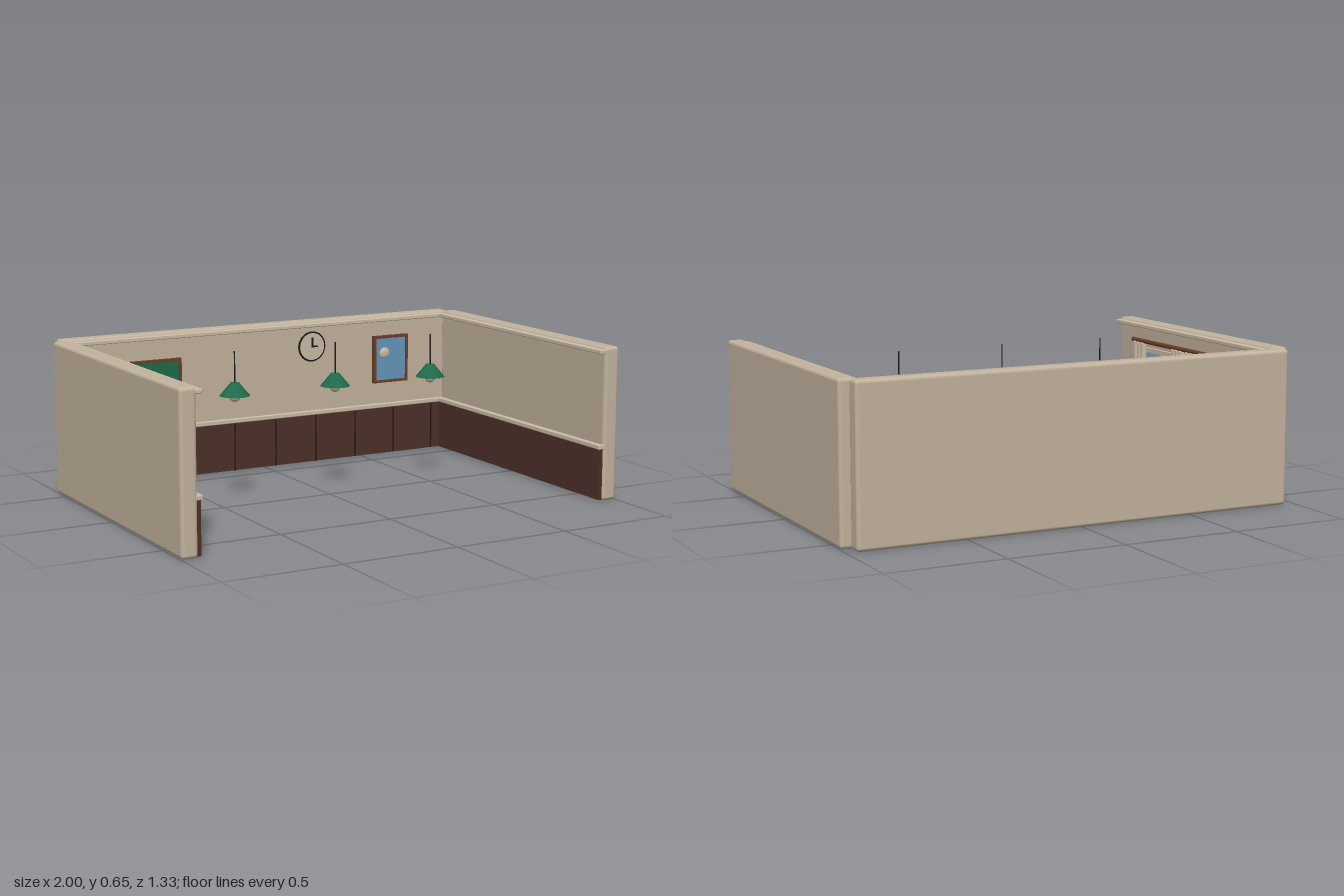
import * as THREE from 'three';
import { RoundedBoxGeometry } from 'three/addons/geometries/RoundedBoxGeometry.js';

const mat = (name, color) => Object.assign(new THREE.MeshStandardMaterial({ color }), { name });

export function createModel() {
  const plaster = mat('plaster', 0xc2b39d);
  const cream = mat('cream trim', 0xcabca6);
  const panelBrown = mat('panel brown', 0x4e3029);
  const grooveBrown = mat('groove brown', 0x2c1a16);
  const wood = mat('wood', 0x6b3f28);
  const green = mat('green', 0x1f6b4c);
  const blue = mat('picture blue', 0x6496bd);
  const glass = mat('glass', 0x86a9c6);
  const black = mat('black', 0x1e1b19);

  const room = new THREE.Group();
  room.name = 'room';

  const add = (parent, name, geo, material, x, y, z) => {
    const m = new THREE.Mesh(geo, material);
    m.name = name;
    m.position.set(x, y, z);
    parent.add(m);
    return m;
  };
  // Boxes given by their minimum and maximum corners
  const box = (parent, name, material, a, b, radius = 0) => {
    const s = a.map((v, i) => b[i] - v);
    const geo = radius ? new RoundedBoxGeometry(...s, 3, radius) : new THREE.BoxGeometry(...s);
    return add(parent, name, geo, material, ...a.map((v, i) => (v + b[i]) / 2));
  };
  const group = (name) => {
    const g = new THREE.Group();
    g.name = name;
    room.add(g);
    return g;
  };

  // Back wall with panelling, chair rail and crown
  const back = group('backWall');
  box(back, 'wall', plaster, [-0.96, 0, -0.667], [0.96, 0.65, -0.597], 0.015);
  box(back, 'panelling', panelBrown, [-0.93, 0.005, -0.6], [0.93, 0.22, -0.59]);
  box(back, 'chairRail', cream, [-0.93, 0.22, -0.6], [0.93, 0.24, -0.58], 0.004);
  box(back, 'crown', cream, [-0.93, 0.622, -0.6], [0.93, 0.64, -0.578], 0.004);
  for (let i = 0; i < 9; i++) {
    const x = -0.77 + i * 0.205;
    box(back, 'groove', grooveBrown, [x - 0.003, 0.005, -0.592], [x + 0.003, 0.22, -0.586]);
  }

  // Side walls, mirrored
  for (const s of [-1, 1]) {
    const side = group(s < 0 ? 'rightWall' : 'leftWall');
    const slab = (name, material, inner, outer, y0, y1, z1, r) =>
      box(side, name, material, [Math.min(s * inner, s * outer), y0, -0.597],
        [Math.max(s * inner, s * outer), y1, z1], r);
    slab('wall', plaster, 0.93, 1, 0, 0.65, 0.667, 0.015);
    slab('panelling', panelBrown, 0.916, 0.94, 0.005, 0.22, 0.66, 0);
    slab('chairRail', cream, 0.908, 0.94, 0.22, 0.24, 0.665, 0.004);
    slab('crown', cream, 0.905, 0.94, 0.622, 0.64, 0.665, 0.004);
  }

  // Framed pictures with a round motif
  const picture = (name, x0, x1, y0, y1, material, dotX, dotY) => {
    const g = group(name);
    const t = 0.012;
    box(g, 'frameBottom', wood, [x0, y0, -0.6], [x1, y0 + t, -0.578]);
    box(g, 'frameTop', wood, [x0, y1 - t, -0.6], [x1, y1, -0.578]);
    box(g, 'frameSide', wood, [x0, y0 + t, -0.6], [x0 + t, y1 - t, -0.578]);
    box(g, 'frameSide', wood, [x1 - t, y0 + t, -0.6], [x1, y1 - t, -0.578]);
    box(g, 'canvas', material, [x0 + t, y0 + t, -0.598], [x1 - t, y1 - t, -0.584]);
    add(g, 'motif', new THREE.SphereGeometry(0.026, 24, 16), cream, dotX, dotY, -0.584).scale.z = 0.35;
  };
  picture('greenPicture', -0.65, -0.415, 0.36, 0.535, green, -0.573, 0.47);
  picture('bluePicture', 0.555, 0.735, 0.338, 0.556, blue, 0.613, 0.475);

  // Wall clock
  const clock = group('clock');
  clock.position.set(0.232, 0.535, -0.59);
  add(clock, 'rim', new THREE.TorusGeometry(0.064, 0.005, 10, 40), black, 0, 0, 0.006);
  add(clock, 'face', new THREE.CylinderGeometry(0.064, 0.064, 0.02, 40), cream, 0, 0, 0).rotation.x = Math.PI / 2;
  box(clock, 'minuteHand', black, [-0.003, -0.003, 0.01], [0.003, 0.042, 0.016]);
  box(clock, 'hourHand', black, [0, -0.003, 0.01], [0.026, 0.003, 0.016]);

  // Windows with curtains on the right-hand wall
  for (const cz of [0.27, -0.178]) {
    const win = group('window');
    win.position.set(-0.93, 0, cz);
    const bar = (name, y0, y1, z0, z1, depth = 0.016) =>
      box(win, name, cream, [-0.005, y0, z0], [depth, y1, z1]);
    box(win, 'pane', glass, [-0.005, 0.265, -0.155], [0.006, 0.52, 0.155]);
    bar('frameTop', 0.515, 0.535, -0.165, 0.165);
    bar('sill', 0.25, 0.27, -0.165, 0.165, 0.02);
    bar('mullion', 0.27, 0.515, -0.009, 0.009);
    for (const s of [-1, 1]) {
      bar('frameSide', 0.27, 0.515, s * 0.156 - 0.009, s * 0.156 + 0.009);
      // Each curtain is three soft vertical folds held by a tie
      for (let i = -1; i <= 1; i++) {
        add(win, 'curtainFold', new THREE.CapsuleGeometry(0.018, 0.33, 6, 14), cream,
          0.028, 0.386, s * 0.165 + i * 0.032).scale.x = 0.75;
      }
      box(win, 'curtainTie', green, [0.012, 0.292, s * 0.165 - 0.052], [0.045, 0.308, s * 0.165 + 0.052]);
    }
    add(win, 'curtainRod', new THREE.CylinderGeometry(0.01, 0.01, 0.45, 14), wood, 0.03, 0.566, 0).rotation.x = Math.PI / 2;
  }

  // Hanging lamps
  for (const x of [-0.445, 0.025, 0.495]) {
    const lamp = group('lamp');
    lamp.position.set(x, 0, 0);
    add(lamp, 'cord', new THREE.CylinderGeometry(0.003, 0.003, 0.135, 8), black, 0, 0.5825, 0);
    add(lamp, 'shade', new THREE.CylinderGeometry(0.018, 0.063, 0.054, 24), green, 0, 0.492, 0);
    add(lamp, 'bulb', new THREE.SphereGeometry(0.023, 20, 14), cream, 0, 0.462, 0);
  }
  return room;
}
